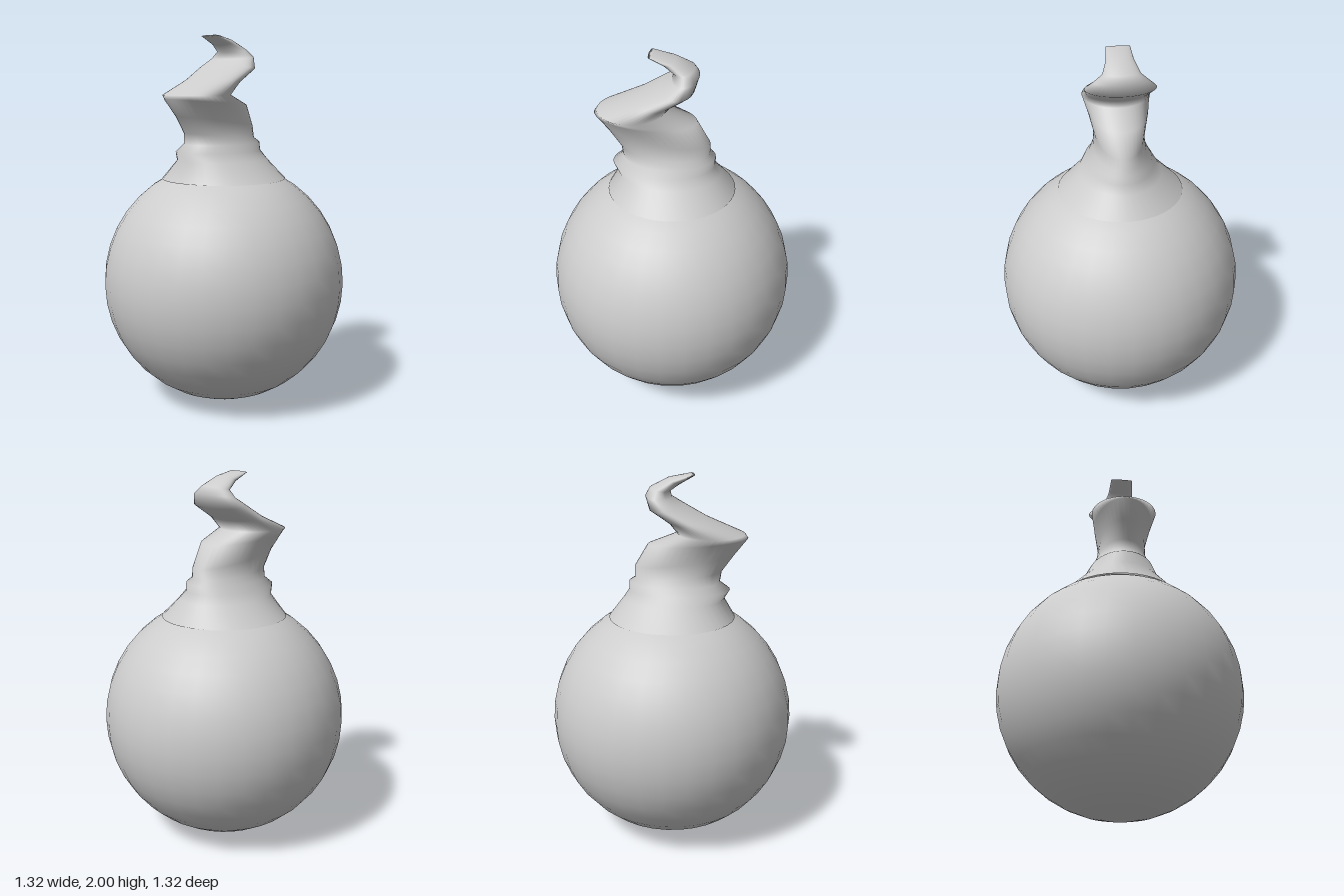
import * as THREE from 'three';

// Stalk sections, bottom to top: [front z, front y, back z, back y, half width]
const SECTIONS = [
  [0.34, 1.235, -0.34, 1.235, 0.335],
  [0.28, 1.34, -0.26, 1.34, 0.22],
  [0.31, 1.39, -0.23, 1.385, 0.185],
  [0.255, 1.43, -0.23, 1.43, 0.165],
  [0.265, 1.49, -0.2, 1.45, 0.14],
  [0.33, 1.58, -0.2, 1.51, 0.13],
  [0.4, 1.67, -0.13, 1.63, 0.16],
  [0.385, 1.69, 0.03, 1.69, 0.18],
  [0.19, 1.77, -0.015, 1.75, 0.172],
  [0.06, 1.84, -0.117, 1.82, 0.182],
  [0.0, 1.875, -0.138, 1.89, 0.14],
  [-0.01, 1.91, -0.115, 1.93, 0.095],
  [0.04, 1.945, -0.02, 1.98, 0.07],
  [0.117, 1.99, 0.09, 2.0, 0.062],
];

// Joins tilted oval rings into a smooth skin and closes the tip
function loftStalk(sections, sides) {
  const positions = [], indices = [];
  for (const [fz, fy, bz, by, w] of sections) {
    for (let i = 0; i < sides; i++) {
      const a = (i / sides) * Math.PI * 2;
      const t = (1 - Math.cos(a)) / 2;
      positions.push(w * Math.sin(a), fy + (by - fy) * t, fz + (bz - fz) * t);
    }
  }
  for (let r = 0; r < sections.length - 1; r++) {
    for (let i = 0; i < sides; i++) {
      const a = r * sides + i, b = r * sides + (i + 1) % sides;
      indices.push(a, b, a + sides, b, b + sides, a + sides);
    }
  }
  const last = (sections.length - 1) * sides;
  const [fz, fy, bz, by] = sections[sections.length - 1];
  positions.push(0, (fy + by) / 2 + 0.003, (fz + bz) / 2);
  for (let i = 0; i < sides; i++) {
    indices.push(last + i, last + (i + 1) % sides, last + sides);
  }
  const geometry = new THREE.BufferGeometry();
  geometry.setAttribute('position', new THREE.Float32BufferAttribute(positions, 3));
  geometry.setIndex(indices);
  geometry.computeVertexNormals();
  return geometry;
}

export function createModel() {
  const group = new THREE.Group();
  group.name = 'bulbWithCrookedStalk';
  const material = new THREE.MeshStandardMaterial({ color: 0xcccccc, side: THREE.DoubleSide });

  // Round body
  const body = new THREE.Mesh(new THREE.SphereGeometry(0.66, 32, 20), material);
  body.name = 'body';
  body.position.y = 0.665;
  group.add(body);

  // Zigzag stalk with a flared collar
  const stalk = new THREE.Mesh(loftStalk(SECTIONS, 40), material);
  stalk.name = 'stalk';
  group.add(stalk);

  return group;
}
